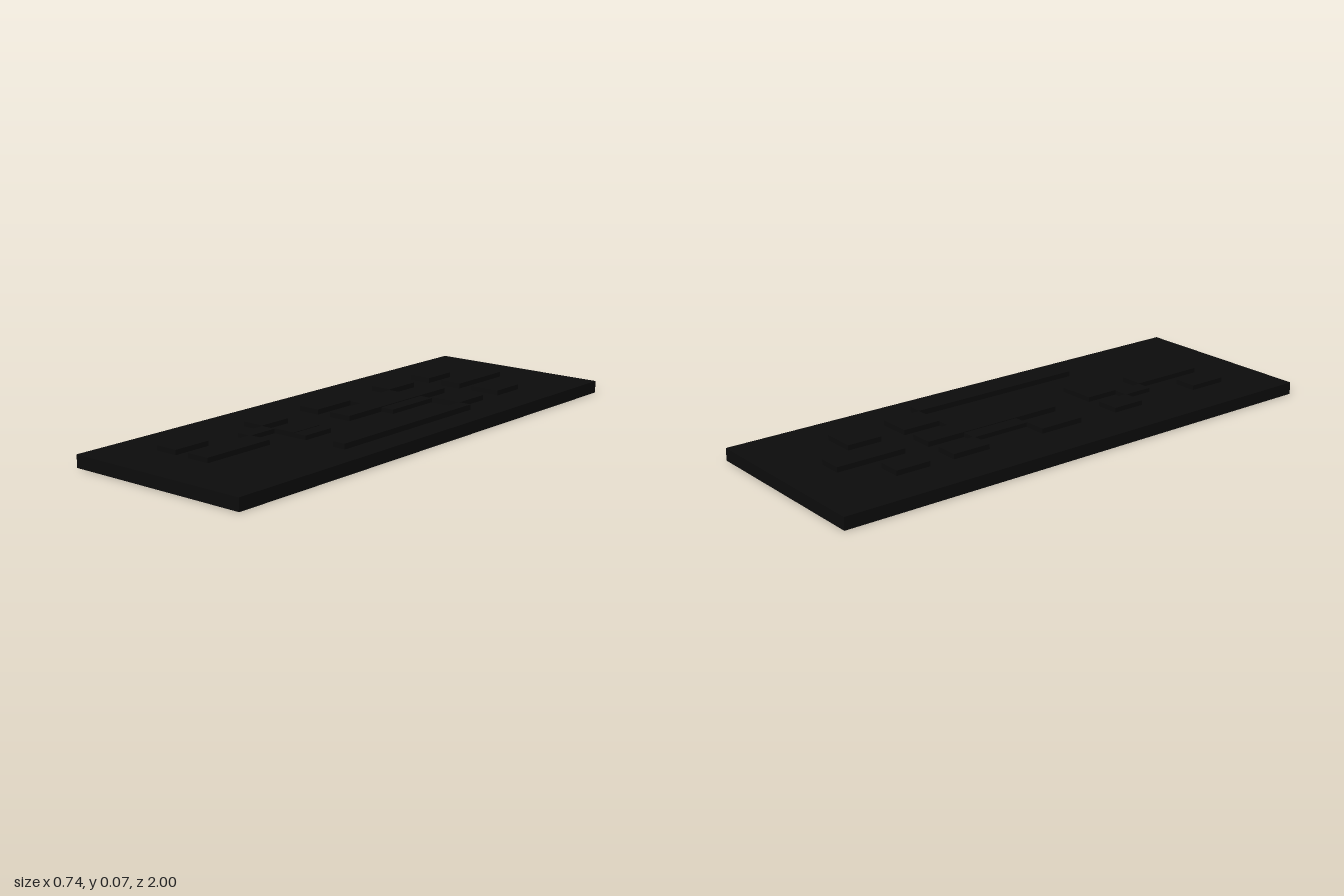
import * as THREE from 'three';

export function createModel() {
  const model = new THREE.Group();
  const material = new THREE.MeshStandardMaterial({ color: 0x0c0c0c });
  const baseTop = 0.046;

  // Box given by its limits on each axis
  function block(name, x0, x1, z0, z1, y0, y1) {
    const mesh = new THREE.Mesh(new THREE.BoxGeometry(x1 - x0, y1 - y0, z1 - z0), material);
    mesh.position.set((x0 + x1) / 2, (y0 + y1) / 2, (z0 + z1) / 2);
    mesh.name = name;
    model.add(mesh);
  }

  // Flat slab
  block('baseSlab', -0.368, 0.368, -1, 1, 0, baseTop);

  // Column edges shared by all raised tiles
  const columns = {
    outer: [-0.2, -0.112],
    outerLink: [-0.112, -0.055],
    middle: [-0.055, 0.035],
    innerLink: [0.035, 0.088],
    inner: [0.088, 0.213],
    edge: [0.213, 0.265],
  };

  // Raised tiles: column, back z, front z, top height
  const tiles = [
    ['middle', -0.825, -0.555, 0.065],
    ['outer', -0.69, -0.555, 0.065],
    ['inner', -0.69, -0.555, 0.065],
    ['outer', -0.46, -0.31, 0.065],
    ['middle', -0.46, 0.1, 0.065],
    ['inner', -0.46, -0.31, 0.065],
    ['outerLink', -0.31, -0.08, 0.062],
    ['innerLink', -0.31, -0.08, 0.062],
    ['outer', -0.08, 0.1, 0.065],
    ['edge', -0.31, 0.395, 0.066],
    ['outer', 0.26, 0.39, 0.064],
    ['middle', 0.26, 0.39, 0.064],
    ['innerLink', 0.26, 0.39, 0.062],
    ['outerLink', 0.39, 0.51, 0.062],
    ['middle', 0.51, 0.8, 0.064],
    ['outer', 0.65, 0.8, 0.064],
  ];
  for (const [column, z0, z1, top] of tiles) {
    block(column + 'Tile', ...columns[column], z0, z1, baseTop, top);
  }

  return model;
}
